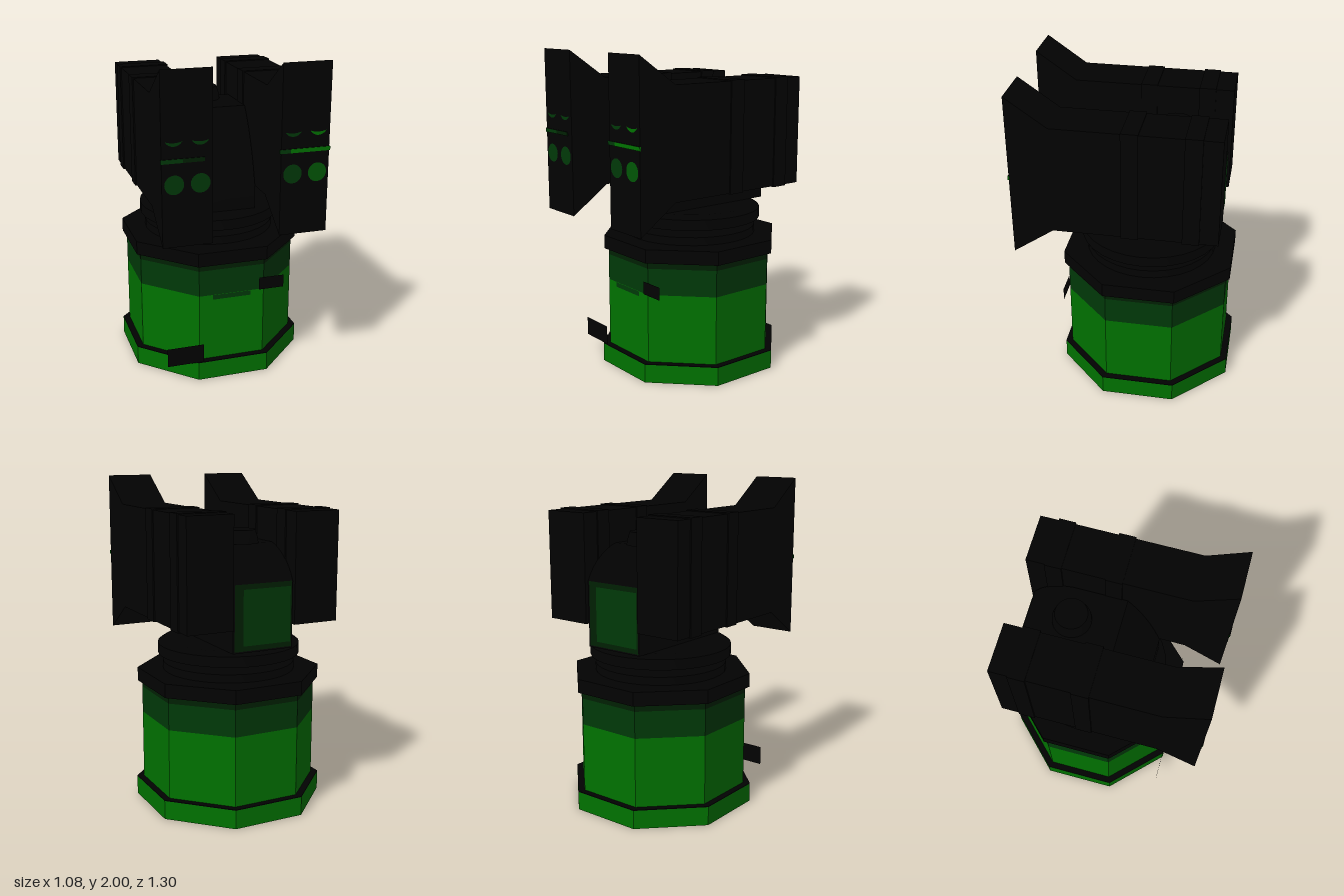
import * as THREE from 'three';
import { toCreasedNormals } from 'three/addons/utils/BufferGeometryUtils.js';

const mat = (name, color) => Object.assign(
  new THREE.MeshStandardMaterial({ color, side: THREE.DoubleSide }), { name });

export function createModel() {
  const black = mat('black', 0x020202);
  const green = mat('green', 0x007200);
  const midGreen = mat('mid green', 0x005605);
  const darkGreen = mat('dark green', 0x003908);
  const deepGreen = mat('deep green', 0x002002);
  const model = new THREE.Group();
  model.name = 'turret';
  const CZ = -0.11; // turret axis

  function add(name, geo, material, x = 0, y = 0, z = 0, parent = model) {
    const mesh = new THREE.Mesh(toCreasedNormals(geo, 0.6), material);
    mesh.name = name;
    mesh.position.set(x, y, z);
    parent.add(mesh);
    return mesh;
  }
  // box given by its limits
  function box(name, m, x0, x1, y0, y1, z0, z1, parent) {
    return add(name, new THREE.BoxGeometry(x1 - x0, y1 - y0, z1 - z0), m,
      (x0 + x1) / 2, (y0 + y1) / 2, (z0 + z1) / 2, parent);
  }
  // flat sheet facing the front
  function sheet(name, m, x0, x1, y0, y1, z) {
    return add(name, new THREE.PlaneGeometry(x1 - x0, y1 - y0), m, (x0 + x1) / 2, (y0 + y1) / 2, z);
  }
  // octagonal prism with a flat side towards each axis
  function octagon(name, m, apothem, y0, y1, open = false) {
    const r = apothem / Math.cos(Math.PI / 8);
    return add(name, new THREE.CylinderGeometry(r, r, y1 - y0, 8, 1, open, Math.PI / 8), m, 0, (y0 + y1) / 2, CZ);
  }
  // side profile in (z, y), extruded across x about its centre
  function sideProfile(shape, width) {
    const g = new THREE.ExtrudeGeometry(shape, { depth: width, bevelEnabled: false, curveSegments: 8 });
    return g.translate(0, 0, -width / 2).rotateY(-Math.PI / 2);
  }
  const lathe = pts => new THREE.LatheGeometry(pts.map(p => new THREE.Vector2(...p)), 32);

  // octagonal base with a hollow underside
  octagon('baseFlange', green, 0.54, 0, 0.116, true);
  octagon('flangeFloor', black, 0.54, 0.116, 0.12);
  octagon('baseBody', green, 0.5, 0.12, 0.55, true);
  octagon('baseBand', darkGreen, 0.5, 0.55, 0.715, true);
  octagon('baseUpperBand', deepGreen, 0.5, 0.715, 0.755, true);
  octagon('baseCollar', black, 0.525, 0.755, 0.84);
  sheet('bandTab', darkGreen, -0.12, 0.12, 0.52, 0.55, 0.394);
  sheet('lowerPlate', black, -0.42, -0.19, 0.12, 0.24, 0.425);
  sheet('upperPlate', black, 0.175, 0.335, 0.55, 0.63, 0.4);

  // round turntable
  add('turntable', lathe([[0, 0.84], [0.41, 0.84], [0.41, 0.89], [0.37, 0.94], [0.44, 0.94],
    [0.44, 1.005], [0.4, 1.03], [0, 1.03]]), black, 0, 0, CZ);

  // central housing with a sloping front and rounded back
  const housing = new THREE.Shape();
  housing.moveTo(-0.55, 1.03);
  housing.lineTo(0.24, 1.03);
  housing.lineTo(0.24, 1.17);
  housing.quadraticCurveTo(0.17, 1.45, 0.03, 1.63);
  housing.lineTo(-0.3, 1.63);
  housing.quadraticCurveTo(-0.47, 1.59, -0.55, 1.43);
  housing.closePath();
  add('housing', sideProfile(housing, 0.39), black);
  add('topCap', lathe([[0.115, 1.63], [0.113, 1.655], [0.095, 1.71], [0, 1.71]]), black, 0, 0, -0.25);
  sheet('backFrame', deepGreen, -0.19, 0.185, 1.04, 1.43, -0.552);
  sheet('backPanel', darkGreen, -0.18, 0.13, 1.07, 1.4, -0.555);

  // launcher pods with flared fronts
  const podShape = new THREE.Shape([
    [-0.57, 1.17], [0.4, 1.17], [0.645, 1], [0.645, 2], [0.4, 1.83], [-0.57, 1.83],
  ].map(p => new THREE.Vector2(...p)));
  for (const s of [-1, 1]) {
    const pod = new THREE.Group();
    pod.name = s > 0 ? 'leftPod' : 'rightPod';
    pod.position.x = s * 0.345;
    model.add(pod);
    add('podBody', sideProfile(podShape, 0.29), black, 0, 0, 0, pod);
    for (const z of [-0.46, -0.105]) {
      box('podBand', black, -0.153, 0.153, 1.165, 1.836, z, z + 0.1, pod);
    }
    // lamps: full discs below, crescents above
    for (const dx of [-0.075, 0.075]) {
      const lit = s > 0 && dx > 0;
      add('lowerLamp', new THREE.CircleGeometry(0.056, 24), lit ? midGreen : darkGreen, dx, 1.365, 0.648, pod);
      const crescent = new THREE.Shape();
      crescent.absarc(0, 0, 0.056, Math.PI * 1.17, Math.PI * 1.83, false);
      crescent.quadraticCurveTo(0, -0.045, -0.048, -0.028);
      add('upperLamp', new THREE.ShapeGeometry(crescent), lit ? green : darkGreen, dx, 1.638, 0.648, pod);
    }
  }
  // light bars across the pod fronts, black above and below
  for (const [name, m, x0, x1] of [
    ['leftBarInner', darkGreen, 0.19, 0.255], ['leftBar', green, 0.255, 0.495],
    ['rightBar', darkGreen, -0.495, -0.37], ['rightBarInner', deepGreen, -0.37, -0.245],
  ]) {
    box(name, [m, m, black, black, m, m], x0, x1, 1.488, 1.512, 0.641, 0.65);
  }

  return model;
}
